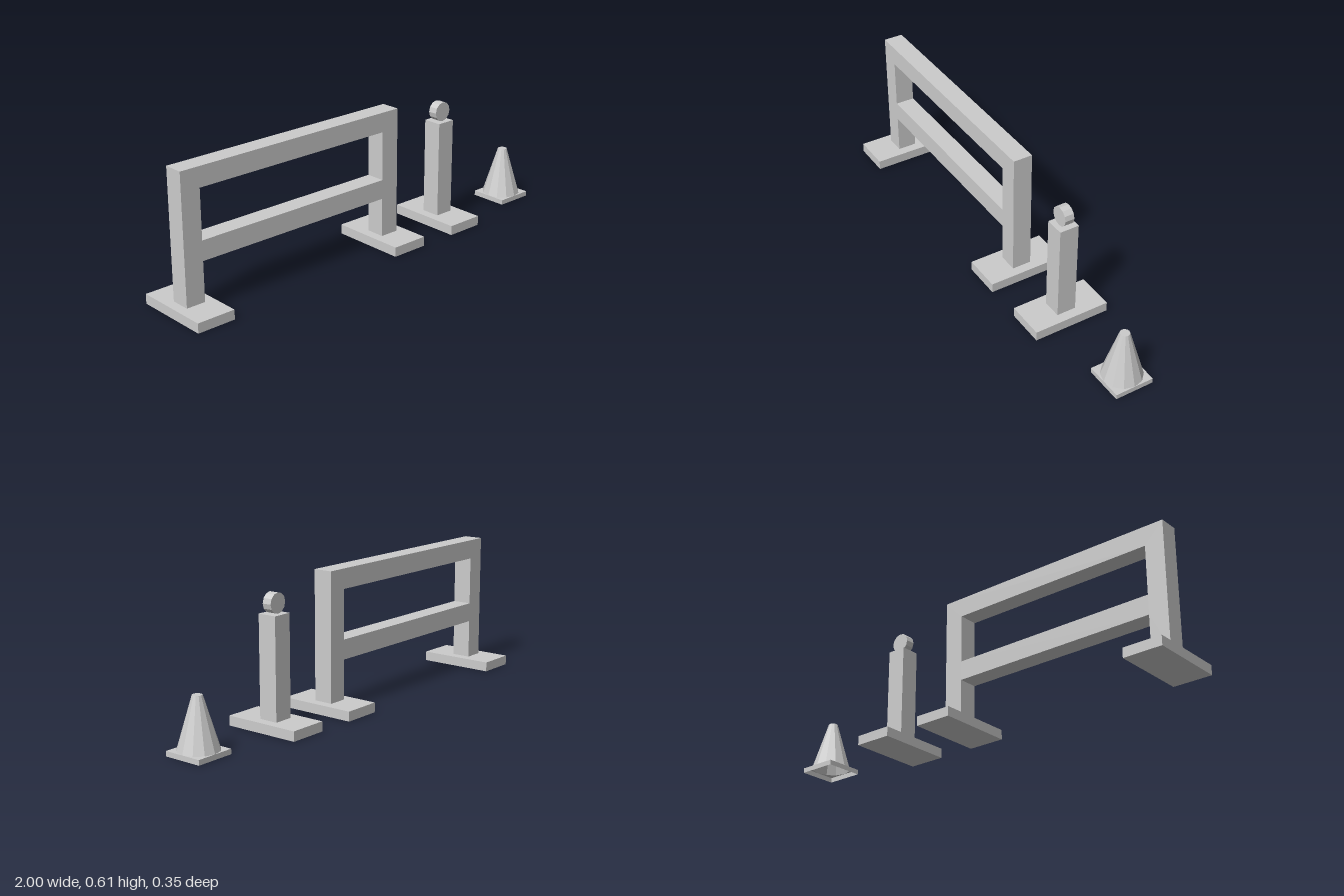
import * as THREE from 'three';

const material = new THREE.MeshStandardMaterial({ color: 0xcccccc, flatShading: true });
const shellMaterial = new THREE.MeshStandardMaterial({ color: 0xcccccc, flatShading: true, side: THREE.DoubleSide });

const T = 0.087;      // timber thickness
const FOOT_H = 0.043; // foot plate height

function add(parent, name, geometry, x = 0, y = 0, z = 0, mat = material) {
  const mesh = new THREE.Mesh(geometry, mat);
  mesh.name = name;
  mesh.position.set(x, y, z);
  parent.add(mesh);
  return mesh;
}

function group(parent, name) {
  const g = new THREE.Group();
  g.name = name;
  parent.add(g);
  return g;
}

function addFoot(parent, name, x) {
  add(parent, name, new THREE.BoxGeometry(0.174, FOOT_H, 0.348), x, FOOT_H / 2);
}

function rectangle(Type, x0, y0, x1, y1) {
  return new Type([[x0, y0], [x1, y0], [x1, y1], [x0, y1]].map(p => new THREE.Vector2(...p)));
}

// One-piece frame: two posts joined by a top rail and a middle rail
function barrierFrame() {
  const L = -0.957, R = 0.172, top = 0.609, rail = 0.218;
  const outline = [
    [L, FOOT_H], [L + T, FOOT_H], [L + T, rail], [R - T, rail],
    [R - T, FOOT_H], [R, FOOT_H], [R, top], [L, top],
  ];
  const shape = new THREE.Shape(outline.map(p => new THREE.Vector2(...p)));
  shape.holes.push(rectangle(THREE.Path, L + T, rail + T, R - T, top - T));
  return new THREE.ExtrudeGeometry(shape, { depth: T, bevelEnabled: false }).translate(0, 0, -T / 2);
}

export function createModel() {
  const model = new THREE.Group();
  model.name = 'roadworkSet';

  // Barrier
  const barrier = group(model, 'barrier');
  add(barrier, 'barrierFrame', barrierFrame());
  addFoot(barrier, 'rightFoot', -0.913);
  addFoot(barrier, 'leftFoot', 0.128);

  // Post with a round warning lamp
  const post = group(model, 'lampPost');
  const postX = 0.475, postTop = 0.479;
  addFoot(post, 'postFoot', postX);
  add(post, 'post', new THREE.BoxGeometry(T, postTop - FOOT_H, T), postX, (postTop + FOOT_H) / 2);
  const lamp = new THREE.CylinderGeometry(T / 2, T / 2, 0.042, 12).rotateX(Math.PI / 2);
  add(post, 'lamp', lamp, postX, postTop + T / 2);

  // Hollow traffic cone on an open-bottomed square base
  const cone = group(model, 'trafficCone');
  const coneX = 0.913, half = 0.087, baseH = 0.022;
  const profile = [[half, baseH], [0.021, 0.24], [0, 0.24]].map(p => new THREE.Vector2(...p));
  add(cone, 'coneBody', new THREE.LatheGeometry(profile, 12), coneX, 0, 0, shellMaterial);

  const plate = rectangle(THREE.Shape, -half, -half, half, half);
  const ring = [];
  for (let i = 0; i < 12; i++) {
    const a = (i / 12) * Math.PI * 2;
    ring.push(new THREE.Vector2(Math.cos(a), Math.sin(a)).multiplyScalar(half - 0.0005));
  }
  plate.holes.push(new THREE.Path(ring));
  add(cone, 'baseTop', new THREE.ShapeGeometry(plate).rotateX(-Math.PI / 2), coneX, baseH, 0, shellMaterial);

  for (let i = 0; i < 4; i++) {
    const wall = new THREE.PlaneGeometry(half * 2, baseH).translate(0, baseH / 2, half).rotateY(i * Math.PI / 2);
    add(cone, 'baseWall' + (i + 1), wall, coneX, 0, 0, shellMaterial);
  }

  return model;
}
